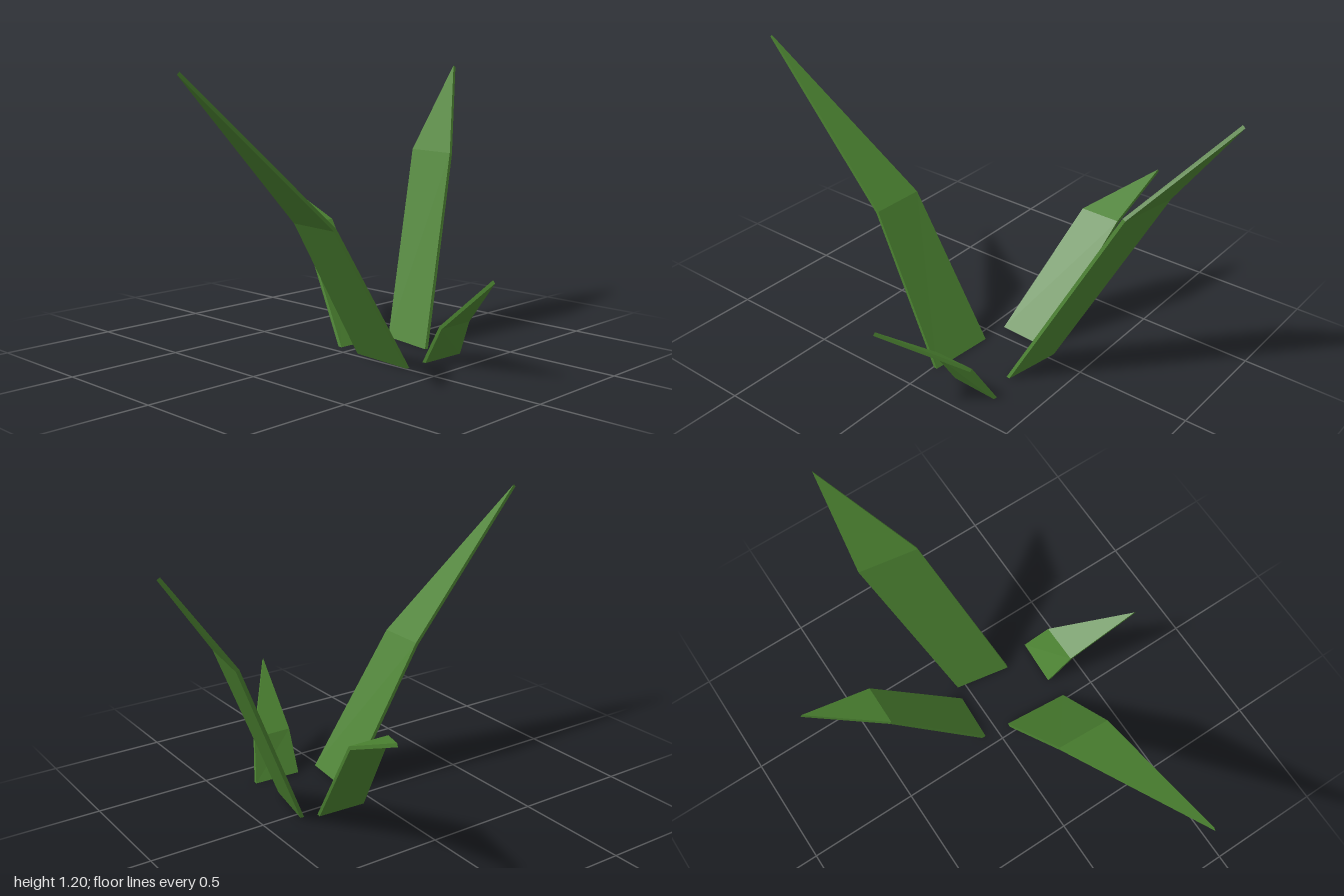
import * as THREE from 'three';

const THICKNESS = 0.015;

// Folded blade: base edge, fold edge (each left, right looking outward), then the tip.
// The upper skin is thickened downward along the surface normals.
function bladeGeometry(points) {
  const p = points.map((a) => new THREE.Vector3(...a));
  const normal = (a, b, c) =>
    b.clone().sub(a).cross(c.clone().sub(a)).normalize();
  const stem = normal(p[0], p[1], p[2]);
  const leaf = normal(p[2], p[3], p[4]);
  const fold = stem.clone().add(leaf).normalize();
  // the foot is cut level with the ground
  const foot = new THREE.Vector3(stem.x, 0, stem.z);
  foot.divideScalar(foot.lengthSq());
  const offsets = [foot, foot, fold, fold, leaf];
  const lower = p.map((v, i) => v.clone().addScaledVector(offsets[i], -THICKNESS));

  const upperFaces = [[0, 1, 3], [0, 3, 2], [2, 3, 4]];
  const outline = [0, 1, 3, 4, 2];
  const index = [];
  for (const [a, b, c] of upperFaces) {
    index.push(a, b, c, c + 5, b + 5, a + 5);
  }
  outline.forEach((a, i) => {
    const b = outline[(i + 1) % outline.length];
    index.push(a, a + 5, b + 5, a, b + 5, b);
  });

  const geometry = new THREE.BufferGeometry().setFromPoints([...p, ...lower]);
  geometry.setIndex(index);
  const flat = geometry.toNonIndexed();
  flat.computeVertexNormals();
  return flat;
}

export function createModel() {
  const group = new THREE.Group();
  group.name = 'grassTuft';

  const green = new THREE.MeshStandardMaterial({ color: 0x4a8030, flatShading: true });
  green.name = 'grassGreen';

  const blades = {
    rightBlade: [
      [0.02, 0, 0.355], [0.045, 0, 0.06],
      [-0.335, 0.6, 0.295], [-0.325, 0.605, 0.065],
      [-0.992, 1.197, 0.215],
    ],
    leftBlade: [
      [0.325, 0, -0.037], [0.28, 0, 0.215],
      [0.71, 0.8, -0.24], [0.667, 0.8, 0.02],
      [0.988, 1.187, -0.226],
    ],
    backBlade: [
      [0.052, 0, -0.06], [0.268, 0, -0.05],
      [0.19, 0.483, -0.437], [0.37, 0.483, -0.435],
      [0.376, 0.612, -0.742],
    ],
    frontBlade: [
      [0.332, 0, 0.347], [0.12, 0, 0.338],
      [0.28, 0.172, 0.44], [0.1, 0.172, 0.442],
      [0.054, 0.411, 0.738],
    ],
  };

  for (const [name, points] of Object.entries(blades)) {
    const mesh = new THREE.Mesh(bladeGeometry(points), green);
    mesh.name = name;
    group.add(mesh);
  }
  return group;
}
